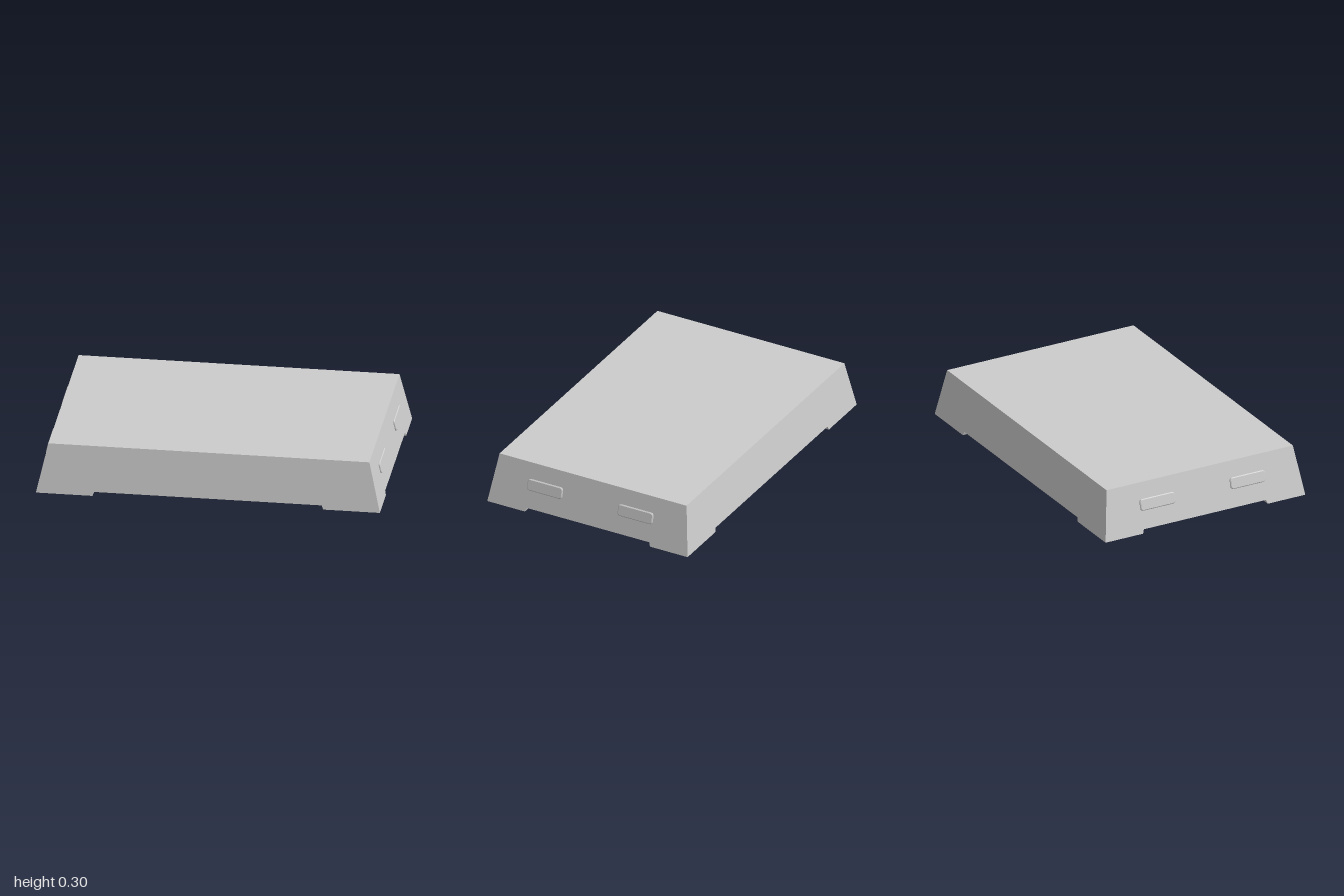
import * as THREE from 'three';

const HEIGHT = 0.296, FOOT = 0.024;
const material = new THREE.MeshStandardMaterial({ color: 0xcccccc, flatShading: true });

// Half width and half depth of the tapered shell at height y
const halfX = (y) => 1 - 0.067 * (y / HEIGHT);
const halfZ = (y) => 0.66 - 0.044 * (y / HEIGHT);

// Box whose bottom and top rectangles are [minX, maxX, minZ, maxZ]
function taperedBlock(name, y0, y1, bottom, top) {
  const geo = new THREE.BoxGeometry(1, 1, 1);
  const p = geo.attributes.position;
  for (let i = 0; i < p.count; i++) {
    const up = p.getY(i) > 0;
    const r = up ? top : bottom;
    p.setXYZ(i, r[p.getX(i) > 0 ? 1 : 0], up ? y1 : y0, r[p.getZ(i) > 0 ? 3 : 2]);
  }
  geo.computeVertexNormals();
  const mesh = new THREE.Mesh(geo, material);
  mesh.name = name;
  return mesh;
}

// Raised grip pad with rounded corners and a chamfered rim, facing +z
function gripGeometry(w, h, r) {
  const s = new THREE.Shape();
  const x = w / 2, y = h / 2;
  s.moveTo(-x + r, -y);
  s.lineTo(x - r, -y);
  s.quadraticCurveTo(x, -y, x, -y + r);
  s.lineTo(x, y - r);
  s.quadraticCurveTo(x, y, x - r, y);
  s.lineTo(-x + r, y);
  s.quadraticCurveTo(-x, y, -x, y - r);
  s.lineTo(-x, -y + r);
  s.quadraticCurveTo(-x, -y, -x + r, -y);
  return new THREE.ExtrudeGeometry(s, {
    depth: 0.008, curveSegments: 4,
    bevelEnabled: true, bevelThickness: 0.004, bevelSize: 0.005, bevelSegments: 1,
  });
}

export function createModel() {
  const model = new THREE.Group();
  model.name = 'platform';

  // Main body
  const rect = (y) => [-halfX(y), halfX(y), -halfZ(y), halfZ(y)];
  model.add(taperedBlock('body', FOOT, HEIGHT, rect(FOOT), rect(HEIGHT)));

  // Corner feet, outer faces flush with the body, inner faces slightly sloped
  const span = (side, inner, outer) => (side > 0 ? [inner, outer] : [-outer, -inner]);
  const footRect = (sx, sz, y, grow) => [
    ...span(sx, 0.67 - grow, halfX(y)), ...span(sz, 0.412 - grow, halfZ(y)),
  ];
  for (const sx of [-1, 1]) for (const sz of [-1, 1]) {
    const name = (sz > 0 ? 'front' : 'back') + (sx > 0 ? 'Left' : 'Right') + 'Foot';
    model.add(taperedBlock(name, 0, FOOT, footRect(sx, sz, 0, 0), footRect(sx, sz, FOOT, 0.008)));
  }

  // Two grips on each end, lying on the sloped face
  const grip = gripGeometry(0.22, 0.06, 0.014);
  grip.rotateY(Math.PI / 2);
  grip.rotateZ(Math.atan(0.067 / HEIGHT));
  for (const sx of [-1, 1]) {
    const side = new THREE.Group();
    side.name = sx > 0 ? 'leftGrips' : 'rightGrips';
    side.rotation.y = sx > 0 ? 0 : Math.PI;
    for (const z of [-0.298, 0.298]) {
      const mesh = new THREE.Mesh(grip, material);
      mesh.name = 'grip';
      mesh.position.set(halfX(0.165) - 0.002, 0.165, z);
      side.add(mesh);
    }
    model.add(side);
  }
  return model;
}
